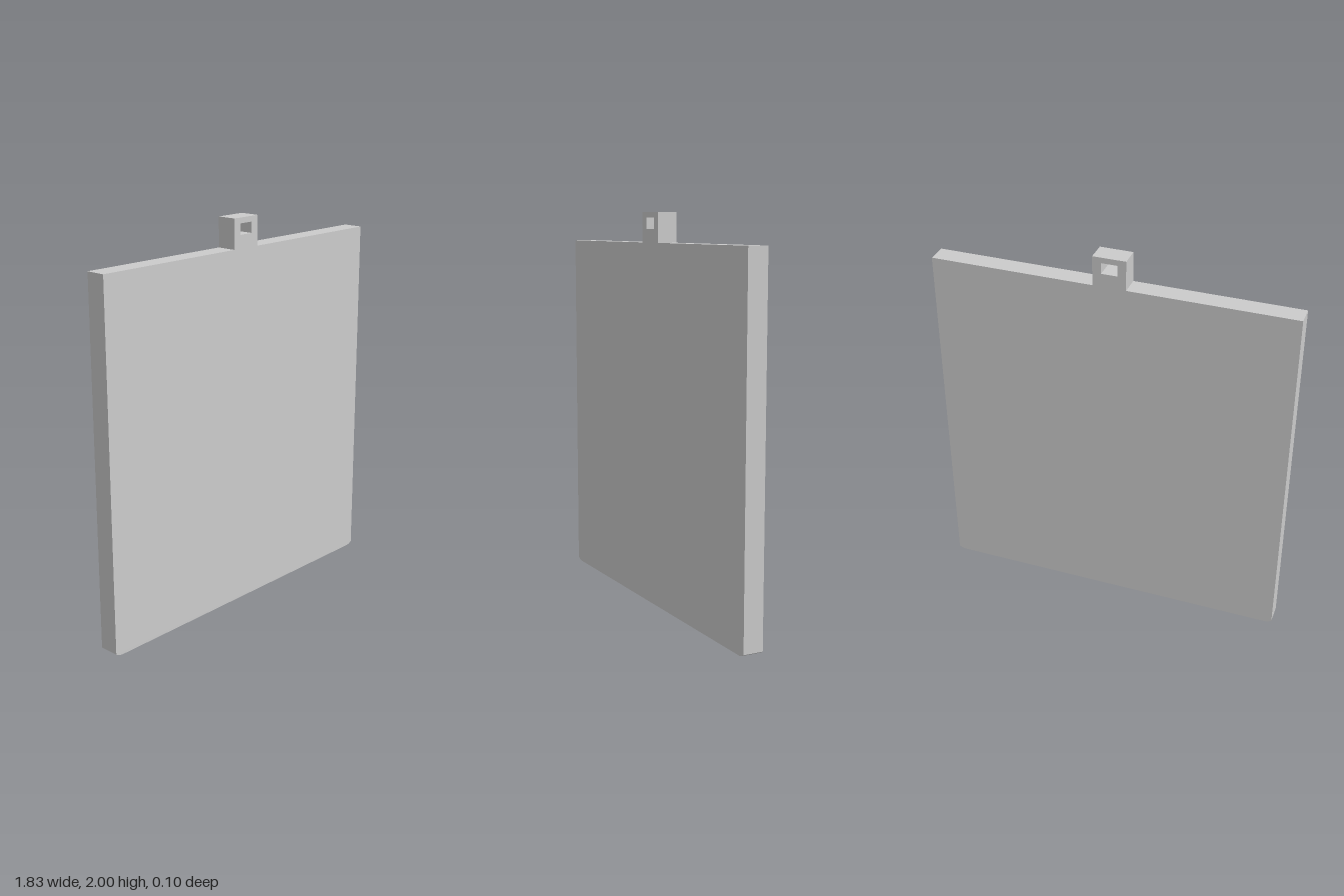
import * as THREE from 'three';

const W = 0.913;      // half width of the panel
const TOP = 1.85;     // top edge of the panel
const TAB = 0.083;    // half width of the hanging tab
const DEPTH = 0.103;

export function createModel() {
  const group = new THREE.Group();
  group.name = 'hangingPanel';

  // Outline: flat panel with slightly eased bottom corners and a tab on top
  const outline = new THREE.Shape();
  outline.moveTo(-W + 0.035, 0);
  outline.lineTo(W - 0.035, 0);
  outline.lineTo(W - 0.015, 0.005);
  outline.lineTo(W, 0.014);
  outline.lineTo(W, TOP);
  outline.lineTo(TAB, TOP);
  outline.lineTo(TAB, 2);
  outline.lineTo(-TAB, 2);
  outline.lineTo(-TAB, TOP);
  outline.lineTo(-W, TOP);
  outline.lineTo(-W, 0.014);
  outline.lineTo(-W + 0.015, 0.005);
  outline.closePath();

  // Rectangular slot through the tab
  const slot = new THREE.Path();
  slot.moveTo(-0.04, 1.917);
  slot.lineTo(-0.04, 1.972);
  slot.lineTo(0.04, 1.972);
  slot.lineTo(0.04, 1.917);
  slot.closePath();
  outline.holes.push(slot);

  const geometry = new THREE.ExtrudeGeometry(outline, { depth: DEPTH, bevelEnabled: false });
  geometry.translate(0, 0, -DEPTH / 2);

  const panel = new THREE.Mesh(
    geometry,
    new THREE.MeshStandardMaterial({ color: 0xcccccc, flatShading: true })
  );
  panel.name = 'panelWithHangingTab';
  group.add(panel);
  return group;
}
